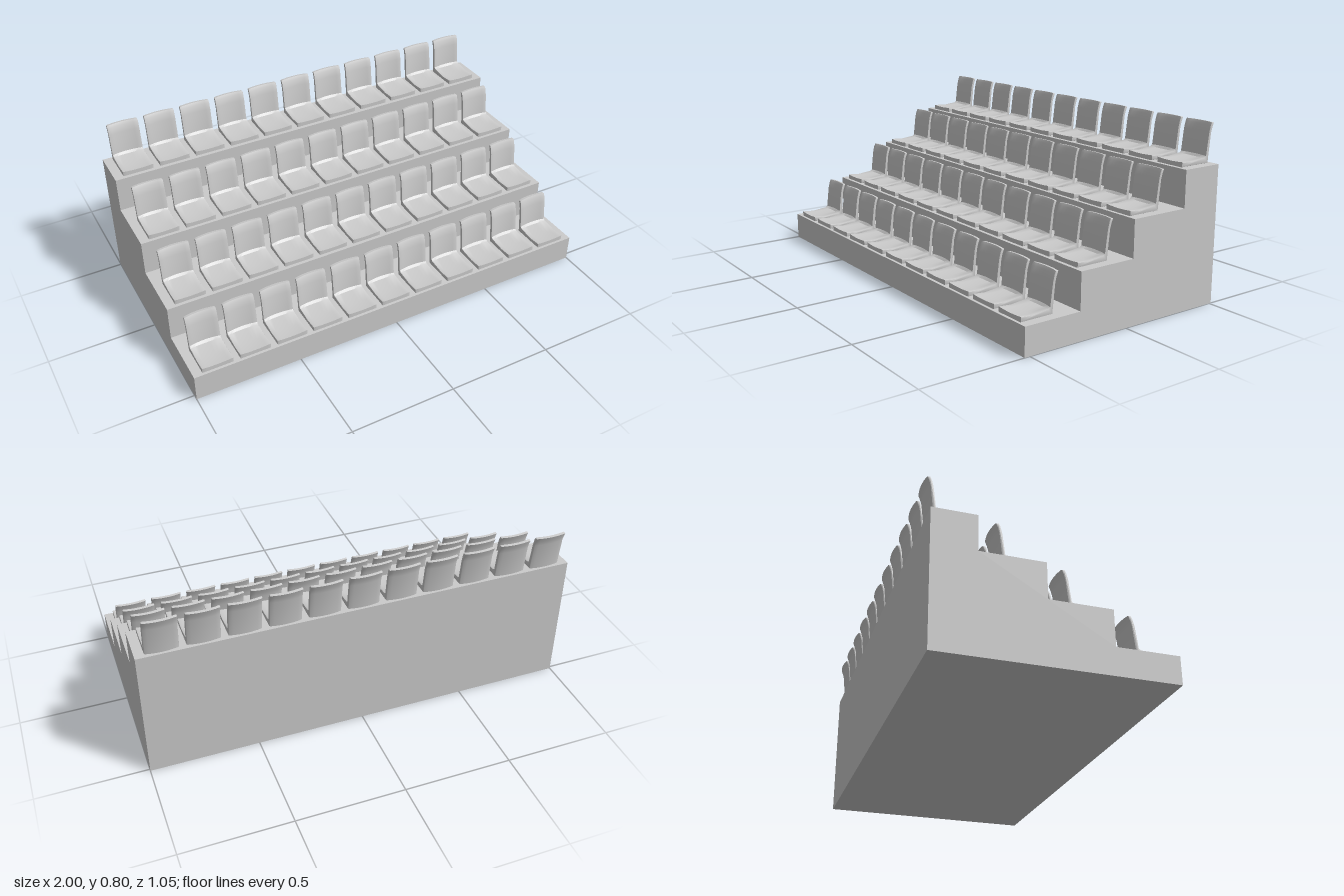
import * as THREE from 'three';
import { toCreasedNormals } from 'three/addons/utils/BufferGeometryUtils.js';

const WIDTH = 2, FRONT = 0.525, BACK = -0.51;
// Front edge and height of each tier, and front edge of its seats
const TIERS = [
  { z: FRONT, y: 0.127, seatZ: 0.512 },
  { z: 0.248, y: 0.293, seatZ: 0.232 },
  { z: -0.03, y: 0.46, seatZ: -0.045 },
  { z: -0.315, y: 0.626, seatZ: -0.333 },
];
const SEATS = 11, PITCH = 0.177, SEAT_WIDTH = 0.147;

// Extrudes a side profile (distance back, height) across x, centred
function extrudeAcross(points, width, bevel, steps) {
  const shape = new THREE.Shape(points.map(([d, y]) => new THREE.Vector2(d, y)));
  const g = new THREE.ExtrudeGeometry(shape, {
    depth: width - 2 * bevel, steps, bevelEnabled: bevel > 0,
    bevelSize: bevel, bevelThickness: bevel, bevelOffset: -bevel, bevelSegments: 2,
  });
  g.translate(0, 0, -width / 2 + bevel);
  return g.rotateY(Math.PI / 2);
}

// Stepped concrete block
function platformGeometry() {
  const pts = [[-FRONT, 0], [-BACK, 0]];
  for (let i = TIERS.length - 1; i >= 0; i--) {
    const rear = i === TIERS.length - 1 ? BACK : TIERS[i + 1].z;
    pts.push([-rear, TIERS[i].y], [-TIERS[i].z, TIERS[i].y]);
  }
  return extrudeAcross(pts, WIDTH, 0, 1);
}

// One-piece seat shell: dished cushion and backrest hollowed across its width
function seatGeometry() {
  const g = extrudeAcross([
    [0, 0], [0.156, 0], [0.169, 0.13], [0.175, 0.152], [0.183, 0.173],
    [0.170, 0.175], [0.163, 0.162], [0.155, 0.13], [0.143, 0.032],
    [0.134, 0.026], [0.06, 0.018], [0, 0.023],
  ], SEAT_WIDTH, 0.004, 8);
  const p = g.attributes.position;
  for (let i = 0; i < p.count; i++) {
    const u = p.getX(i) / (SEAT_WIDTH / 2), d = -p.getZ(i), y = p.getY(i);
    const hollow = 1 - u * u;
    p.setZ(i, -d - 0.009 * hollow * THREE.MathUtils.smoothstep(d, 0.11, 0.143));
    if (y > 0.01 && y < 0.03) p.setY(i, y - 0.004 * hollow);
  }
  g.computeVertexNormals();
  return toCreasedNormals(g, 0.6);
}

export function createModel() {
  const model = new THREE.Group();
  model.name = 'grandstand';
  const material = new THREE.MeshStandardMaterial({ color: 0xcccccc });

  const platform = new THREE.Mesh(platformGeometry(), material);
  platform.name = 'steppedPlatform';
  model.add(platform);

  // Rows of seats
  const seatGeo = seatGeometry();
  TIERS.forEach((tier, r) => {
    const row = new THREE.Group();
    row.name = `seatRow${r + 1}`;
    row.position.set(0, tier.y, tier.seatZ);
    for (let i = 0; i < SEATS; i++) {
      const seat = new THREE.Mesh(seatGeo, material);
      seat.name = `seat${i + 1}`;
      seat.position.x = (i - (SEATS - 1) / 2) * PITCH;
      row.add(seat);
    }
    model.add(row);
  });
  return model;
}
